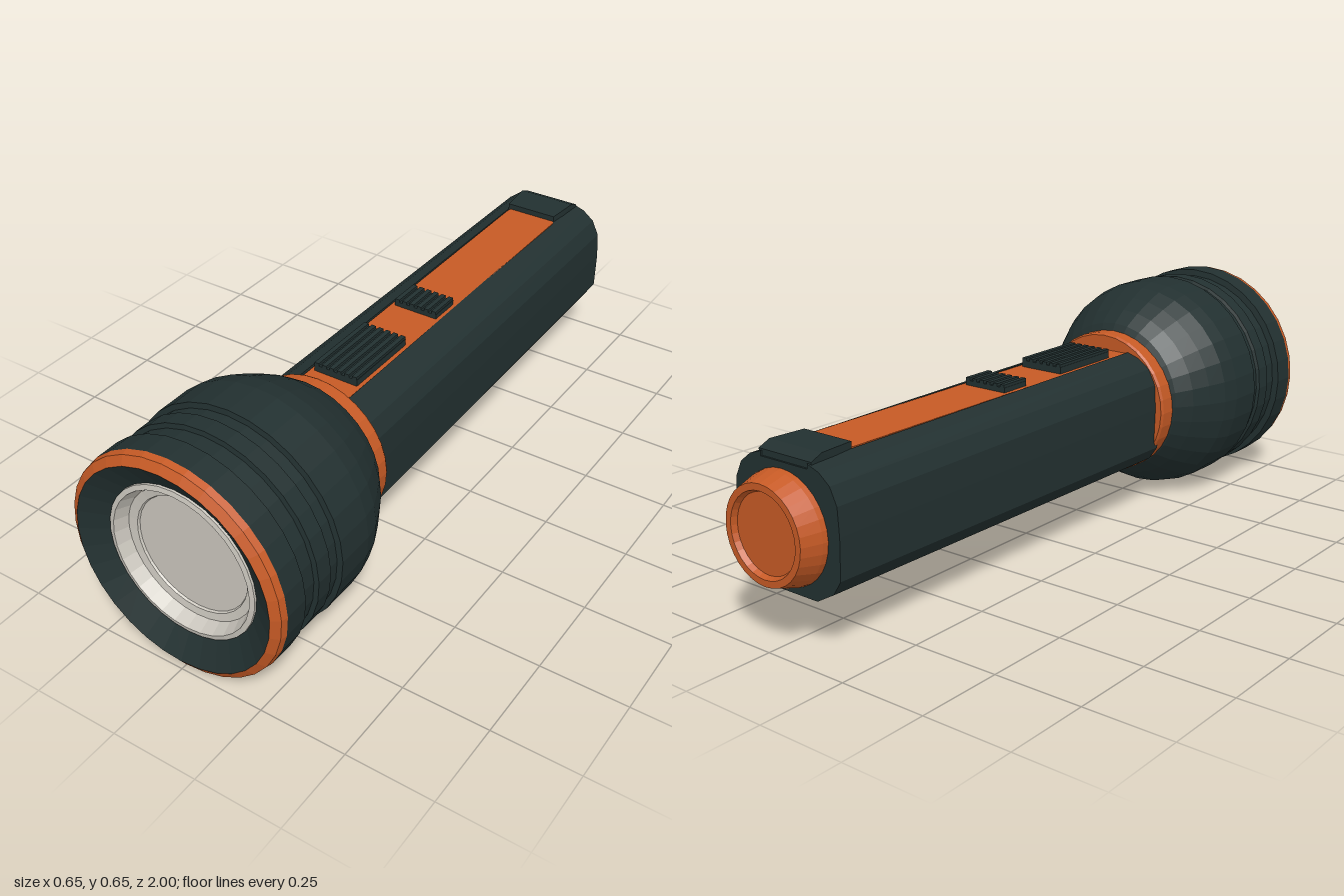
import * as THREE from 'three';

const SIDES = 32;

// Faceted look: every face keeps its own normal
function faceted(geometry) {
  const g = geometry.index ? geometry.toNonIndexed() : geometry;
  g.computeVertexNormals();
  return g;
}

export function createModel() {
  const dark = new THREE.MeshStandardMaterial({ color: 0x223030 });
  dark.name = 'dark casing';
  const orange = new THREE.MeshStandardMaterial({ color: 0xc65a25 });
  orange.name = 'orange trim';
  const lens = new THREE.MeshStandardMaterial({ color: 0xcbc7be });
  lens.name = 'pale lens';

  const model = new THREE.Group();
  model.name = 'flashlight';

  function add(name, geometry, material, parent = model) {
    const mesh = new THREE.Mesh(faceted(geometry), material);
    mesh.name = name;
    parent.add(mesh);
    return mesh;
  }

  // Turned part along z; profile is [radius, z]
  function turned(name, profile, material, x, y) {
    const g = new THREE.LatheGeometry(profile.map(([r, z]) => new THREE.Vector2(r, z)), SIDES);
    g.rotateX(Math.PI / 2);
    g.translate(x, y, 0);
    return add(name, g, material);
  }

  function box(name, w, h, d, x, y, z, material, parent) {
    const g = new THREE.BoxGeometry(w, h, d);
    g.translate(x, y, z);
    return add(name, g, material, parent);
  }

  // Head: domed back, grooved barrel
  const headY = 0.328;
  turned('headShell', [
    [0.19, 0.42], [0.228, 0.44], [0.262, 0.485], [0.29, 0.535], [0.314, 0.585], [0.325, 0.635],
    [0.325, 0.745], [0.31, 0.748], [0.31, 0.782], [0.319, 0.786], [0.319, 0.835],
    [0.306, 0.838], [0.306, 0.893], [0.325, 0.896], [0.325, 0.966],
  ], dark, 0, headY);
  turned('frontRim', [[0.325, 0.966], [0.321, 0.985], [0.298, 1]], orange, 0, headY);
  turned('headFunnel', [[0.298, 1], [0.224, 0.955]], dark, 0, headY);

  // Lens with stepped ring
  turned('lensRing', [[0.226, 0.95], [0.225, 0.962], [0.211, 0.965], [0.196, 0.925]], lens, 0, headY);
  turned('lensDisc', [[0.197, 0.926], [0.172, 0.922], [0.169, 0.916], [0, 0.916]], lens, 0, headY - 0.003);

  // Collar between head and handle
  turned('collar', [[0.15, 0.38], [0.212, 0.38], [0.217, 0.388], [0.217, 0.436], [0.212, 0.445], [0.15, 0.445]],
    orange, -0.002, 0.318);

  // Handle: flat-sided section with a channel along the top, tapering to the tail
  const half = [
    [0.085, 0.477], [0.085, 0.49], [0.125, 0.477], [0.162, 0.45], [0.185, 0.405],
    [0.19, 0.33], [0.187, 0.205], [0.16, 0.165], [0.1, 0.133],
  ];
  const outline = [...half, ...half.map(([x, y]) => [-x, y]).reverse()];
  const section = new THREE.Shape(outline.map(([x, y]) => new THREE.Vector2(x, y)));
  const z0 = -0.93, z1 = 0.4;
  const handle = new THREE.ExtrudeGeometry(section, { depth: z1 - z0, bevelEnabled: false });
  handle.translate(0, 0, z0);
  const p = handle.attributes.position;
  for (let i = 0; i < p.count; i++) {
    const t = (z1 - p.getZ(i)) / (z1 - z0);
    p.setX(i, p.getX(i) * (1 - 0.06 * t) - 0.004 - 0.005 * t);
    const y = p.getY(i);
    p.setY(i, y < 0.31 ? y + 0.008 * t : y - 0.006 * t);
  }
  add('handle', handle, dark);

  // Top strip, rounded at the tail end
  const strip = new THREE.Shape();
  strip.moveTo(-0.081, -0.38);
  strip.lineTo(0.081, -0.38);
  strip.lineTo(0.081, 0.775);
  strip.quadraticCurveTo(0.078, 0.79, 0.06, 0.792);
  strip.lineTo(-0.06, 0.792);
  strip.quadraticCurveTo(-0.078, 0.79, -0.081, 0.775);
  const stripGeo = new THREE.ExtrudeGeometry(strip, { depth: 0.009, bevelEnabled: false, curveSegments: 4 });
  stripGeo.rotateX(-Math.PI / 2);
  stripGeo.translate(-0.004, 0.477, 0);
  add('topStrip', stripGeo, orange);

  // Ribbed switches
  function ribbedSwitch(name, zBack, zFront, top, alongZ) {
    const group = new THREE.Group();
    group.name = name;
    model.add(group);
    const d = zFront - zBack, z = (zBack + zFront) / 2;
    box('switchBase', 0.138, 0.026, d, -0.004, top - 0.021, z, dark, group);
    const ribs = 6;
    for (let i = 0; i < ribs; i++) {
      const s = (i + 0.5) / ribs - 0.5;
      if (alongZ) box('rib', 0.014, 0.012, d, -0.004 + s * 0.146, top - 0.006, z, dark, group);
      else box('rib', 0.138, 0.012, d / ribs * 0.6, -0.004, top - 0.006, z + s * d * 1.08, dark, group);
    }
  }
  ribbedSwitch('slideSwitch', 0.065, 0.303, 0.513, true);
  ribbedSwitch('pushSwitch', -0.187, -0.092, 0.508, true);

  // Raised tail block closing the channel
  const side = new THREE.Shape([[0.785, 0.45], [0.925, 0.45], [0.925, 0.488], [0.89, 0.503], [0.785, 0.503]]
    .map(([x, y]) => new THREE.Vector2(x, y)));
  const tailBlock = new THREE.ExtrudeGeometry(side, { depth: 0.18, bevelEnabled: false });
  tailBlock.rotateY(Math.PI / 2);
  tailBlock.translate(-0.098, 0, 0);
  const q = tailBlock.attributes.position;
  for (let i = 0; i < q.count; i++) {
    if (q.getZ(i) > -0.8) q.setX(i, (q.getX(i) + 0.008) * 0.9 - 0.008);
  }
  add('tailBlock', tailBlock, dark);

  // Tail cap with a recessed end
  turned('tailCap', [
    [0, -0.985], [0.105, -0.985], [0.112, -1], [0.13, -1], [0.147, -0.945], [0.15, -0.925],
  ], orange, 0, 0.305);

  return model;
}
